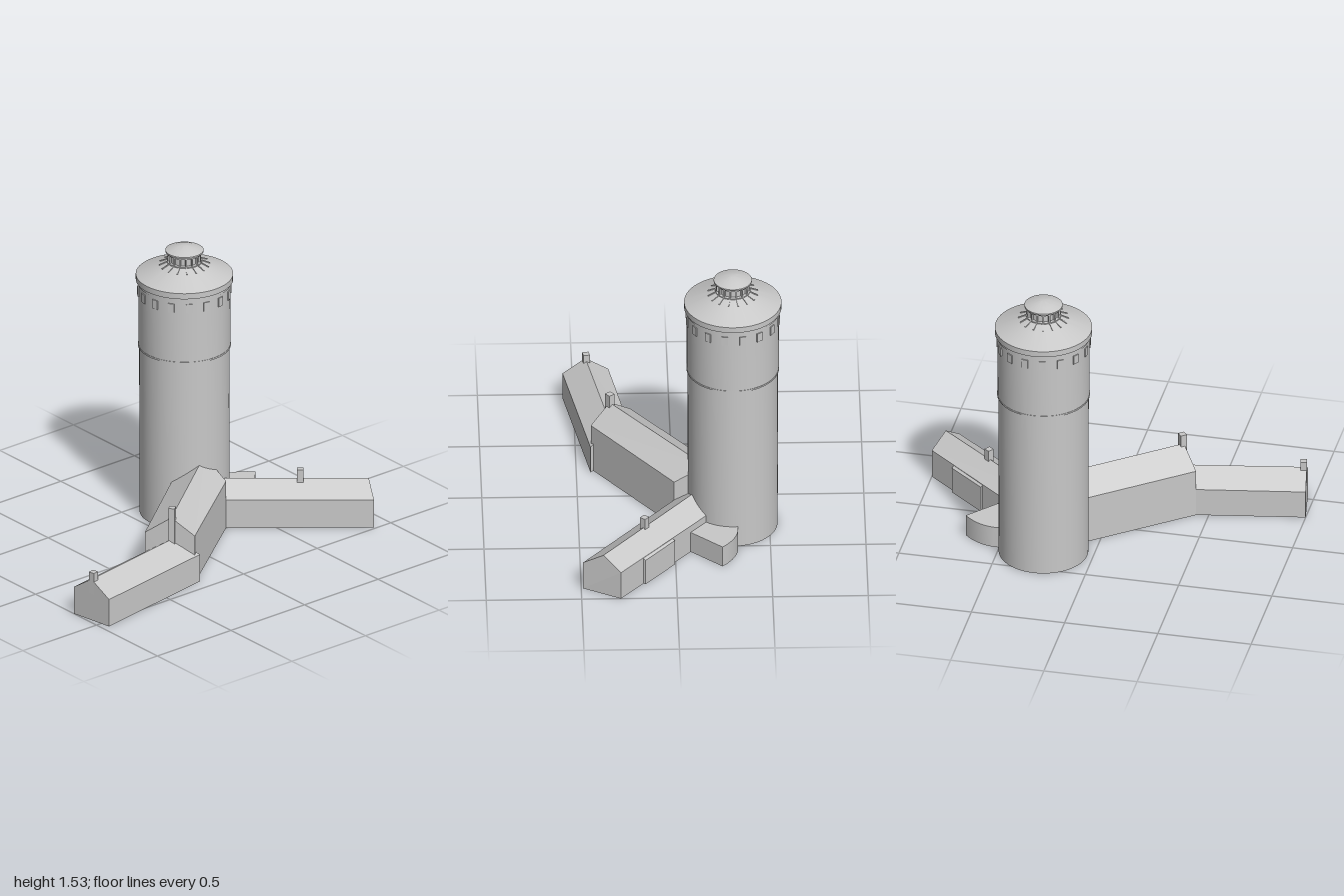
import * as THREE from 'three';
import { toCreasedNormals } from 'three/addons/utils/BufferGeometryUtils.js';

const stone = new THREE.MeshStandardMaterial({ color: 0xc8c8c8 });
stone.name = 'light grey';

function add(parent, name, geometry, x = 0, y = 0, z = 0, ry = 0) {
  const mesh = new THREE.Mesh(geometry, stone);
  mesh.name = name;
  mesh.position.set(x, y, z);
  mesh.rotation.y = ry;
  parent.add(mesh);
  return mesh;
}

// Gabled house between two ends; each end lists [x, z] of front wall, ridge and back wall
function gabledHouse(start, end, frontEave, ridge, backEave) {
  const section = ([f, r, b]) => [
    [f[0], 0, f[1]], [f[0], frontEave, f[1]], [r[0], ridge, r[1]],
    [b[0], backEave, b[1]], [b[0], 0, b[1]],
  ];
  const s = section(start), e = section(end), tris = [];
  for (let i = 0; i < 5; i++) {
    const j = (i + 1) % 5;
    tris.push(s[i], e[i], e[j], s[i], e[j], s[j]);
  }
  for (let i = 1; i < 4; i++) {
    tris.push(s[0], s[i], s[i + 1], e[0], e[i + 1], e[i]);
  }
  const g = new THREE.BufferGeometry();
  g.setAttribute('position', new THREE.Float32BufferAttribute(tris.flat(), 3));
  g.computeVertexNormals();
  return g;
}

function lathe(profile) {
  const points = profile.map(([r, y]) => new THREE.Vector2(r, y));
  return toCreasedNormals(new THREE.LatheGeometry(points, 64), 0.35);
}

function createTower() {
  const tower = new THREE.Group();
  tower.name = 'tower';
  tower.position.set(0.267, 0, -0.308);

  add(tower, 'towerShaft', lathe([
    [0, 0], [0.235, 0], [0.237, 0.957], [0.243, 0.957], [0.243, 0.966],
    [0.241, 0.966], [0.242, 1.32], [0, 1.32],
  ]));
  add(tower, 'towerRoof', lathe([
    [0.2, 1.318], [0.246, 1.318], [0.246, 1.333], [0.255, 1.335],
    [0.255, 1.367], [0.09, 1.438], [0, 1.438],
  ]));
  add(tower, 'lanternCore', lathe([
    [0.092, 1.434], [0.092, 1.443], [0.078, 1.445], [0.078, 1.485],
    [0.09, 1.485], [0.09, 1.496], [0, 1.496],
  ]));
  add(tower, 'lanternCap', lathe([
    [0, 1.494], [0.1, 1.496], [0.1, 1.504], [0.06, 1.52], [0.02, 1.53], [0, 1.531],
  ]));

  // Ring of windows, lantern posts and short roof ribs
  const windowGeometry = new THREE.BoxGeometry(0.034, 0.05, 0.008);
  const postGeometry = new THREE.BoxGeometry(0.008, 0.045, 0.012);
  const ribGeometry = new THREE.BoxGeometry(0.006, 0.008, 0.05);
  for (let i = 0; i < 16; i++) {
    const a = (i + 0.5) * Math.PI / 8, sx = Math.sin(a), cz = Math.cos(a);
    add(tower, 'towerWindow', windowGeometry, 0.243 * sx, 1.275, 0.243 * cz, a);
    add(tower, 'lanternPost', postGeometry, 0.082 * sx, 1.465, 0.082 * cz, a);
    const rib = add(tower, 'roofRib', ribGeometry, 0.11 * sx, 1.43, 0.11 * cz);
    rib.rotation.set(0.41, a, 0, 'YXZ');
  }
  return tower;
}

export function createModel() {
  const model = new THREE.Group();
  model.name = 'towerAndHouses';
  model.add(createTower());

  // Tall middle house running into the tower
  add(model, 'tallHouse', gabledHouse(
    [[-0.268, 0.423], [-0.345, 0.323], [-0.435, 0.215]],
    [[0.295, 0], [0.285, -0.165], [0.2, -0.278]],
    0.27, 0.362, 0.267));

  // Low house on the right-hand end
  add(model, 'lowHouse', gabledHouse(
    [[-0.96, 0.555], [-0.98, 0.435], [-1, 0.315]],
    [[-0.235, 0.425], [-0.32, 0.315], [-0.432, 0.215]],
    0.155, 0.235, 0.155));

  // Low house on the left, with a shallow bay along its back
  add(model, 'leftHouse', gabledHouse(
    [[0.295, 0], [0.29, -0.15], [0.4, -0.208]],
    [[0.895, 0.49], [0.945, 0.385], [1, 0.295]],
    0.16, 0.235, 0.16));
  add(model, 'backBay', gabledHouse(
    [[0.59, 0.15], [0.61, 0.111], [0.672, 0.004]],
    [[0.78, 0.305], [0.8, 0.266], [0.863, 0.162]],
    0.19, 0.2345, 0.148));

  // Flat-roofed annex with a curved back wall
  const plan = new THREE.Shape();
  plan.moveTo(0.4, 0.33);
  plan.lineTo(0.53, 0.33);
  plan.quadraticCurveTo(0.62, 0.325, 0.698, 0.245);
  plan.lineTo(0.548, 0.077);
  plan.lineTo(0.4, 0.19);
  const annex = new THREE.ExtrudeGeometry(plan, { depth: 0.12, bevelEnabled: false, curveSegments: 10 });
  annex.rotateX(-Math.PI / 2);
  add(model, 'annex', toCreasedNormals(annex, 0.4));

  // Chimneys: x, z, bottom, top, turn
  for (const [x, z, bottom, top, turn] of [
    [-0.338, 0.322, 0.2, 0.42, 0.66],
    [-0.964, 0.432, 0.15, 0.273, 0.178],
    [0.664, 0.163, 0.15, 0.29, -0.685],
  ]) {
    add(model, 'chimney', new THREE.BoxGeometry(0.034, top - bottom, 0.034),
      x, (top + bottom) / 2, z, turn);
  }
  return model;
}
